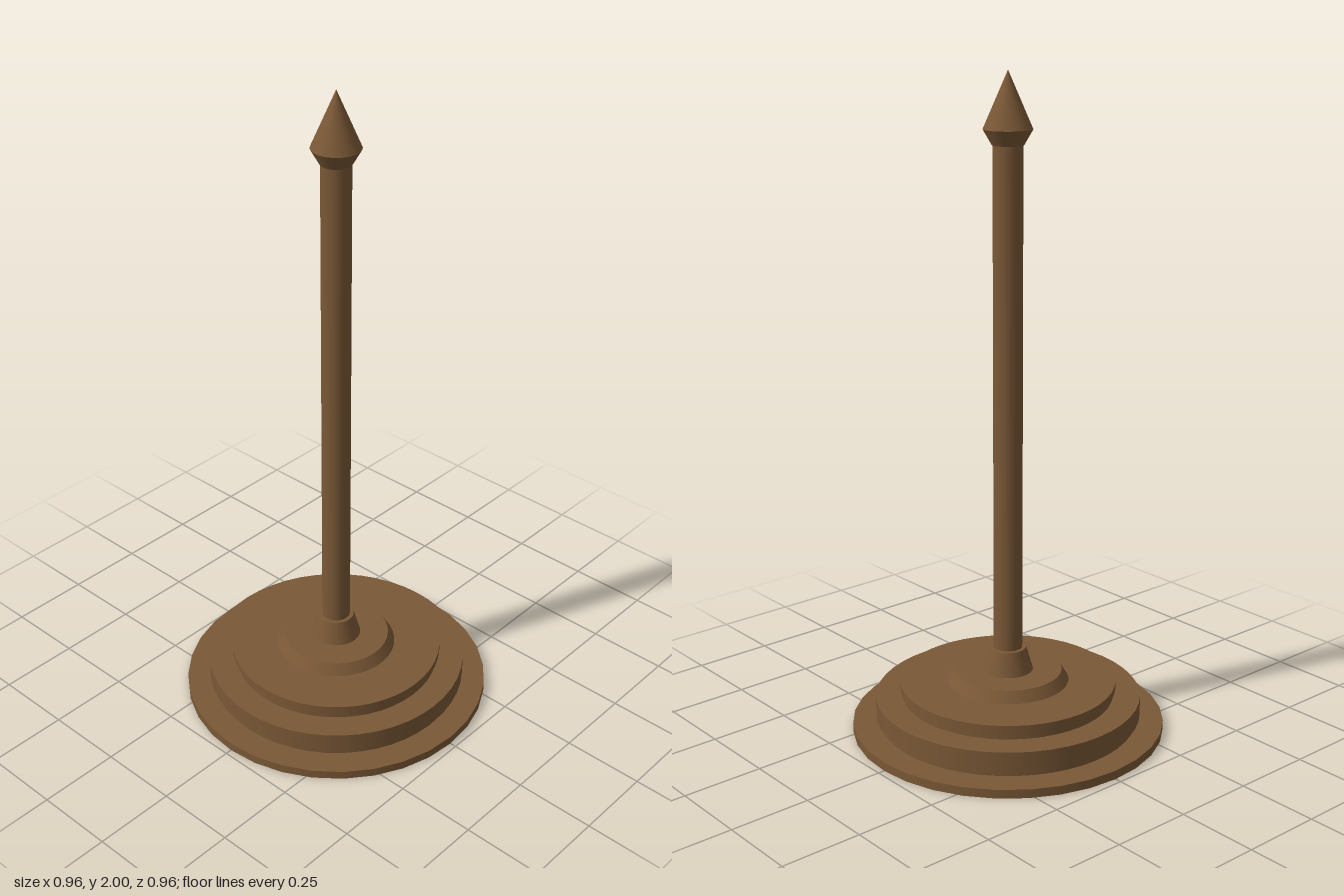
import * as THREE from 'three';

export function createModel() {
  const model = new THREE.Group();
  const wood = new THREE.MeshStandardMaterial({ color: 0x7a5836 });
  wood.name = 'brown wood';

  // One turned section: bottom radius, top radius, bottom height, top height, sides
  const turned = (name, r0, r1, y0, y1, sides = 48) => {
    const mesh = new THREE.Mesh(new THREE.CylinderGeometry(r1, r0, y1 - y0, sides), wood);
    mesh.name = name;
    mesh.position.y = (y0 + y1) / 2;
    model.add(mesh);
  };

  // Stepped base
  turned('footDisc', 0.48, 0.48, 0, 0.027, 32);
  turned('lowerGroove', 0.397, 0.397, 0.027, 0.045);
  turned('lowerStep', 0.408, 0.408, 0.045, 0.107);
  turned('upperGroove', 0.325, 0.325, 0.107, 0.13);
  turned('upperStep', 0.332, 0.332, 0.13, 0.153);
  turned('taperedStep', 0.187, 0.166, 0.153, 0.187);

  // Pole and its collar
  turned('poleCollar', 0.077, 0.056, 0.187, 0.26);
  turned('pole', 0.044, 0.044, 0.26, 1.79, 32);

  // Pointed finial
  turned('finialNeck', 0.046, 0.072, 1.79, 1.835, 32);
  turned('finialPoint', 0.072, 0, 1.835, 2, 32);

  return model;
}
